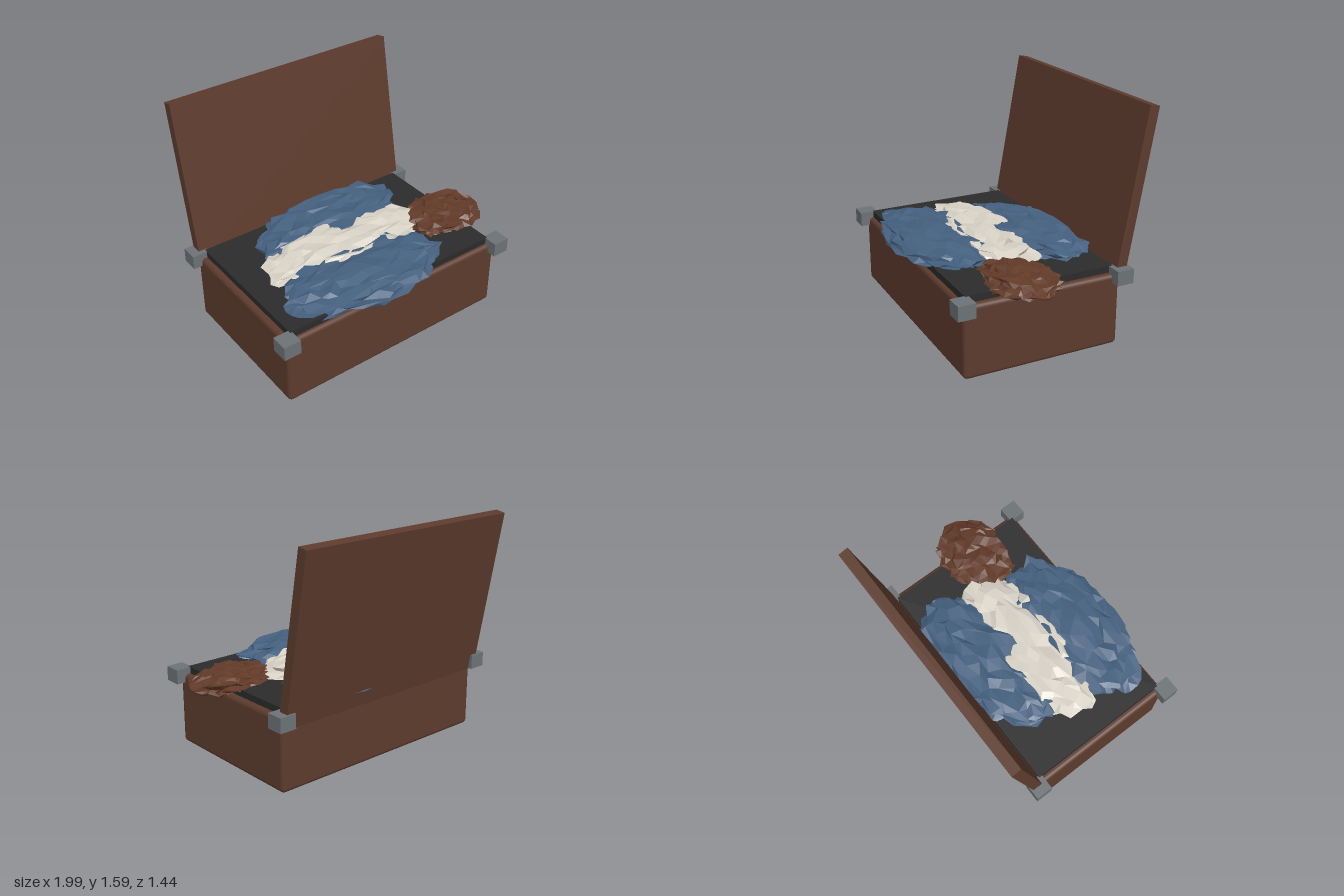
import * as THREE from 'three';
import { mergeVertices } from 'three/addons/utils/BufferGeometryUtils.js';
import { RoundedBoxGeometry } from 'three/addons/geometries/RoundedBoxGeometry.js';

function material(name, color, flatShading = false) {
  const m = new THREE.MeshStandardMaterial({ color, flatShading });
  m.name = name;
  return m;
}

// Small seeded generator returning values in -1..1
function seeded(seed) {
  let s = seed >>> 0;
  return () => {
    s = (Math.imul(s, 1664525) + 1013904223) >>> 0;
    return (s / 4294967296) * 2 - 1;
  };
}

// Flattened, crumpled ball: every shared corner is pushed about at random
function crumpledCloth(rx, ry, rz, seed) {
  let geo = new THREE.IcosahedronGeometry(1, 5);
  geo.deleteAttribute('uv');
  geo.deleteAttribute('normal');
  geo = mergeVertices(geo, 1e-3);
  const rand = seeded(seed);
  const p = geo.attributes.position;
  for (let i = 0; i < p.count; i++) {
    const swell = 1 + 0.1 * rand();
    p.setXYZ(
      i,
      p.getX(i) * rx * swell + 0.025 * rand(),
      p.getY(i) * ry * swell + 0.014 * rand(),
      p.getZ(i) * rz * swell + 0.025 * rand()
    );
  }
  geo = geo.toNonIndexed();
  geo.computeVertexNormals();
  return geo;
}

export function createModel() {
  const model = new THREE.Group();
  model.name = 'openSuitcase';

  const leather = material('brown leather', 0x5d3b2d);
  const lining = material('dark lining', 0x2b2b2b);
  const metal = material('grey metal', 0x6c7275);
  const blue = material('blue cloth', 0x44607f, true);
  const white = material('off-white cloth', 0xd8d2c6, true);
  const brown = material('russet cloth', 0x623a28, true);

  const add = (name, geometry, mat, x, y, z) => {
    const mesh = new THREE.Mesh(geometry, mat);
    mesh.name = name;
    mesh.position.set(x, y, z);
    model.add(mesh);
    return mesh;
  };

  const cx = -0.08, cz = 0.05;

  // Case and its lining slab
  add('caseBody', new RoundedBoxGeometry(1.72, 0.5, 1.1, 3, 0.03), leather, cx, 0.25, cz);
  add('lining', new THREE.BoxGeometry(1.634, 0.055, 1.04), lining, cx, 0.518, cz);

  // Lid leaning back
  const lid = add('lid', new THREE.BoxGeometry(1.72, 1.155, 0.07), leather, cx, 1.013, -0.6);
  lid.rotation.x = -0.178;

  // Corner guards and feet
  const guard = new THREE.BoxGeometry(0.12, 0.1, 0.12);
  const foot = new THREE.CylinderGeometry(0.05, 0.05, 0.02, 16);
  for (const sx of [-1, 1]) {
    for (const sz of [-1, 1]) {
      add('cornerGuard', guard, metal, cx + sx * 0.863, 0.495, cz + sz * 0.555);
      add('foot', foot, lining, cx + sx * 0.77, 0.008, cz + sz * 0.45);
    }
  }

  // Crumpled clothes: name, material, centre, radii, turn, seed
  const clothes = [
    ['backCloth', blue, [-0.03, 0.56, -0.24], [0.58, 0.066, 0.29], 0.14, 11],
    ['middleCloth', white, [-0.12, 0.56, 0.05], [0.6, 0.066, 0.29], 0.03, 27],
    ['frontCloth', blue, [-0.2, 0.56, 0.38], [0.59, 0.066, 0.3], 0.03, 43],
    ['sideCloth', brown, [0.665, 0.555, 0.17], [0.29, 0.06, 0.22], 0.15, 59],
  ];
  for (const [name, mat, c, r, turn, seed] of clothes) {
    add(name, crumpledCloth(...r, seed), mat, ...c).rotation.y = turn;
  }

  return model;
}
